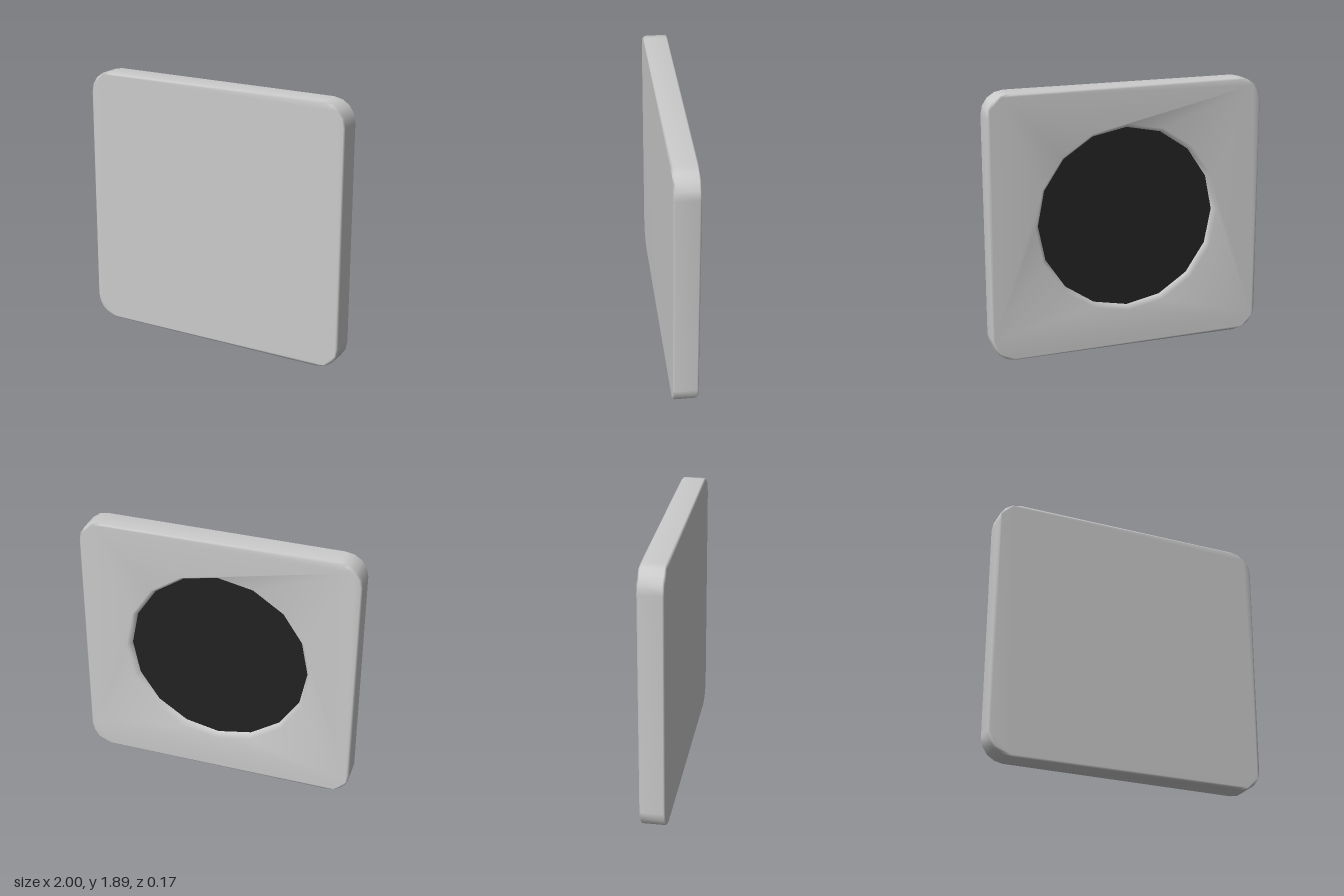
import * as THREE from 'three';
import { mergeGeometries, mergeVertices } from 'three/addons/utils/BufferGeometryUtils.js';

const W = 2, H = 1.89, HALF_D = 0.0875, RADIUS = 0.16, BEVEL = 0.012;
const SIDES = 16, RIM_R = 0.68, PAD_R = 0.65, PAD_Z = -0.042;

// Rounded rectangle, counter-clockwise, shrunk by an inset
function outline(inset) {
  const pts = [];
  const r = RADIUS - inset, cx = W / 2 - RADIUS, cy = H / 2 - RADIUS;
  [[1, 1], [-1, 1], [-1, -1], [1, -1]].forEach(([sx, sy], corner) => {
    for (let i = 0; i <= 4; i++) {
      const a = (corner + i / 4) * Math.PI / 2;
      pts.push(new THREE.Vector2(sx * cx + r * Math.cos(a), sy * cy + r * Math.sin(a)));
    }
  });
  return pts;
}

function circle(r) {
  return Array.from({ length: SIDES }, (_, i) => {
    const a = i / SIDES * Math.PI * 2;
    return new THREE.Vector2(r * Math.cos(a), r * Math.sin(a));
  });
}

// Skin closed rings given as [points, z]
function loft(rings) {
  const pos = [], index = [], n = rings[0][0].length;
  for (const [pts, z] of rings) for (const p of pts) pos.push(p.x, p.y, z);
  for (let k = 0; k < rings.length - 1; k++) {
    for (let i = 0; i < n; i++) {
      const a = k * n + i, b = k * n + (i + 1) % n;
      index.push(a, a + n, b, b, a + n, b + n);
    }
  }
  const g = new THREE.BufferGeometry();
  g.setAttribute('position', new THREE.Float32BufferAttribute(pos, 3));
  g.setIndex(index);
  return g;
}

function face(hole) {
  const shape = new THREE.Shape(outline(BEVEL));
  if (hole) shape.holes.push(new THREE.Path(hole));
  const g = new THREE.ShapeGeometry(shape);
  g.deleteAttribute('normal');
  g.deleteAttribute('uv');
  return g;
}

export function createModel() {
  const model = new THREE.Group();
  model.name = 'squarePlate';

  // Plate: front face, bevelled edge, back face and recess wall as one smooth skin
  const skin = mergeGeometries([
    face().translate(0, 0, HALF_D),
    loft([
      [outline(BEVEL), HALF_D],
      [outline(0), HALF_D - BEVEL],
      [outline(0), -HALF_D + BEVEL],
      [outline(BEVEL), -HALF_D],
    ]),
    face(circle(RIM_R)).rotateY(Math.PI).translate(0, 0, -HALF_D),
    loft([[circle(RIM_R), -HALF_D], [circle(PAD_R), PAD_Z]]),
  ]);
  const plateGeometry = mergeVertices(skin, 1e-4);
  plateGeometry.computeVertexNormals();
  const plate = new THREE.Mesh(plateGeometry, new THREE.MeshStandardMaterial({ color: 0xcccccc }));
  plate.name = 'plate';

  // Dark round pad sunk into the back
  const pad = new THREE.Mesh(
    new THREE.CircleGeometry(PAD_R, SIDES).rotateY(Math.PI),
    new THREE.MeshStandardMaterial({ color: 0x222222 }));
  pad.name = 'backPad';
  pad.position.z = PAD_Z;

  model.add(plate, pad);
  for (const part of model.children) part.position.y = H / 2;
  return model;
}
